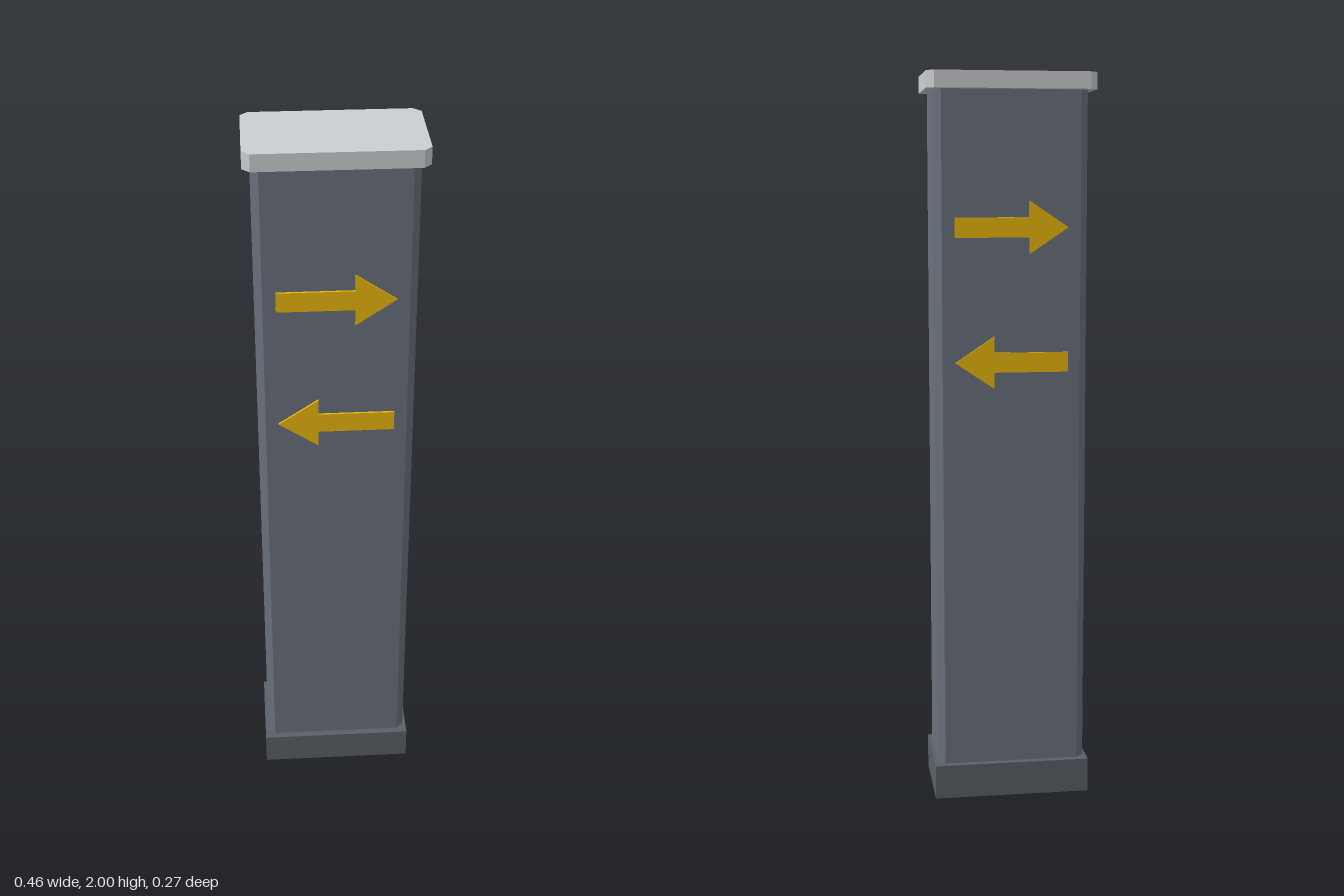
import * as THREE from 'three';

const paint = (color) => new THREE.MeshStandardMaterial({ color, flatShading: true });

// Upright block with chamfered vertical corners
function chamferedBlock(name, halfX, halfZ, chamfer, bottom, top, material) {
  const c = chamfer;
  const outline = new THREE.Shape([
    [halfX, -halfZ + c], [halfX, halfZ - c], [halfX - c, halfZ], [-halfX + c, halfZ],
    [-halfX, halfZ - c], [-halfX, -halfZ + c], [-halfX + c, -halfZ], [halfX - c, -halfZ],
  ].map(([x, y]) => new THREE.Vector2(x, y)));
  const geometry = new THREE.ExtrudeGeometry(outline, { depth: top - bottom, bevelEnabled: false });
  geometry.rotateX(-Math.PI / 2).translate(0, bottom, 0);
  const mesh = new THREE.Mesh(geometry, material);
  mesh.name = name;
  return mesh;
}

// Raised arrow pointing to +x
function arrowGeometry(depth) {
  const outline = new THREE.Shape([
    [-0.154, -0.027], [0.048, -0.027], [0.048, -0.071], [0.154, 0],
    [0.048, 0.071], [0.048, 0.027], [-0.154, 0.027],
  ].map(([x, y]) => new THREE.Vector2(x, y)));
  return new THREE.ExtrudeGeometry(outline, { depth, bevelEnabled: false });
}

export function createModel() {
  const model = new THREE.Group();
  model.name = 'signPillar';

  // Plinth, column and cap
  const base = new THREE.Mesh(new THREE.BoxGeometry(0.434, 0.095, 0.254), paint(0x5a6066));
  base.name = 'base';
  base.position.y = 0.0475;
  model.add(base);
  model.add(chamferedBlock('column', 0.208, 0.108, 0.02, 0.095, 1.955, paint(0x6b727d)));
  model.add(chamferedBlock('cap', 0.228, 0.136, 0.02, 1.955, 2, paint(0xcccfd2)));

  // Opposed pair of arrows on the front, repeated on the back
  const geometry = arrowGeometry(0.01);
  const yellow = paint(0xeab80c);
  for (const side of ['front', 'back']) {
    const pair = new THREE.Group();
    pair.name = side + 'Arrows';
    for (const [name, y, roll] of [['upperArrow', 1.593, 0], ['lowerArrow', 1.23, Math.PI]]) {
      const arrow = new THREE.Mesh(geometry, yellow);
      arrow.name = name;
      arrow.position.set(0, y, 0.104);
      arrow.rotation.z = roll;
      pair.add(arrow);
    }
    if (side === 'back') pair.rotation.y = Math.PI;
    model.add(pair);
  }
  return model;
}
